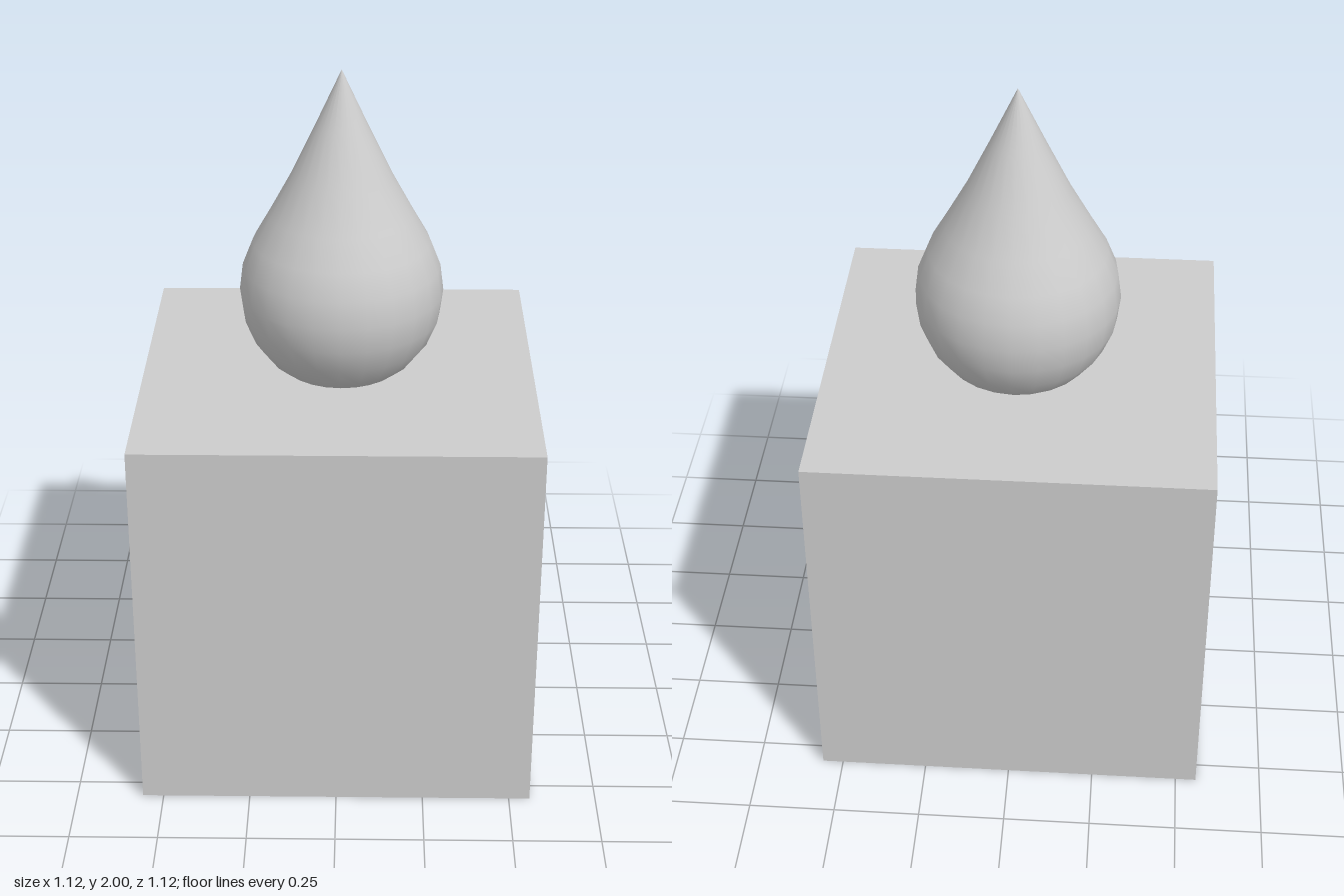
import * as THREE from 'three';

export function createModel() {
  const model = new THREE.Group();
  const gray = new THREE.MeshStandardMaterial({ color: 0xcccccc });
  gray.name = 'light gray';

  // Cube pedestal
  const side = 1.12;
  const pedestal = new THREE.Mesh(new THREE.BoxGeometry(side, side, side), gray);
  pedestal.name = 'pedestal';
  pedestal.position.y = side / 2;
  model.add(pedestal);

  // Teardrop: round lower half, upper rings drawn out to a point
  const radius = 0.29, centerY = 1.356;
  const upperHeights = [1.433, 1.506, 1.586, 1.695, 1.84, 2];
  const profile = [];
  for (let i = -6; i <= 6; i++) {
    const angle = i * Math.PI / 12;
    const y = i > 0 ? upperHeights[i - 1] : centerY + radius * Math.sin(angle);
    profile.push(new THREE.Vector2(Math.abs(i) === 6 ? 0 : radius * Math.cos(angle), y));
  }
  const drop = new THREE.Mesh(new THREE.LatheGeometry(profile, 24), gray);
  drop.name = 'teardrop';
  drop.position.set(0.008, 0, -0.012);
  model.add(drop);

  return model;
}
